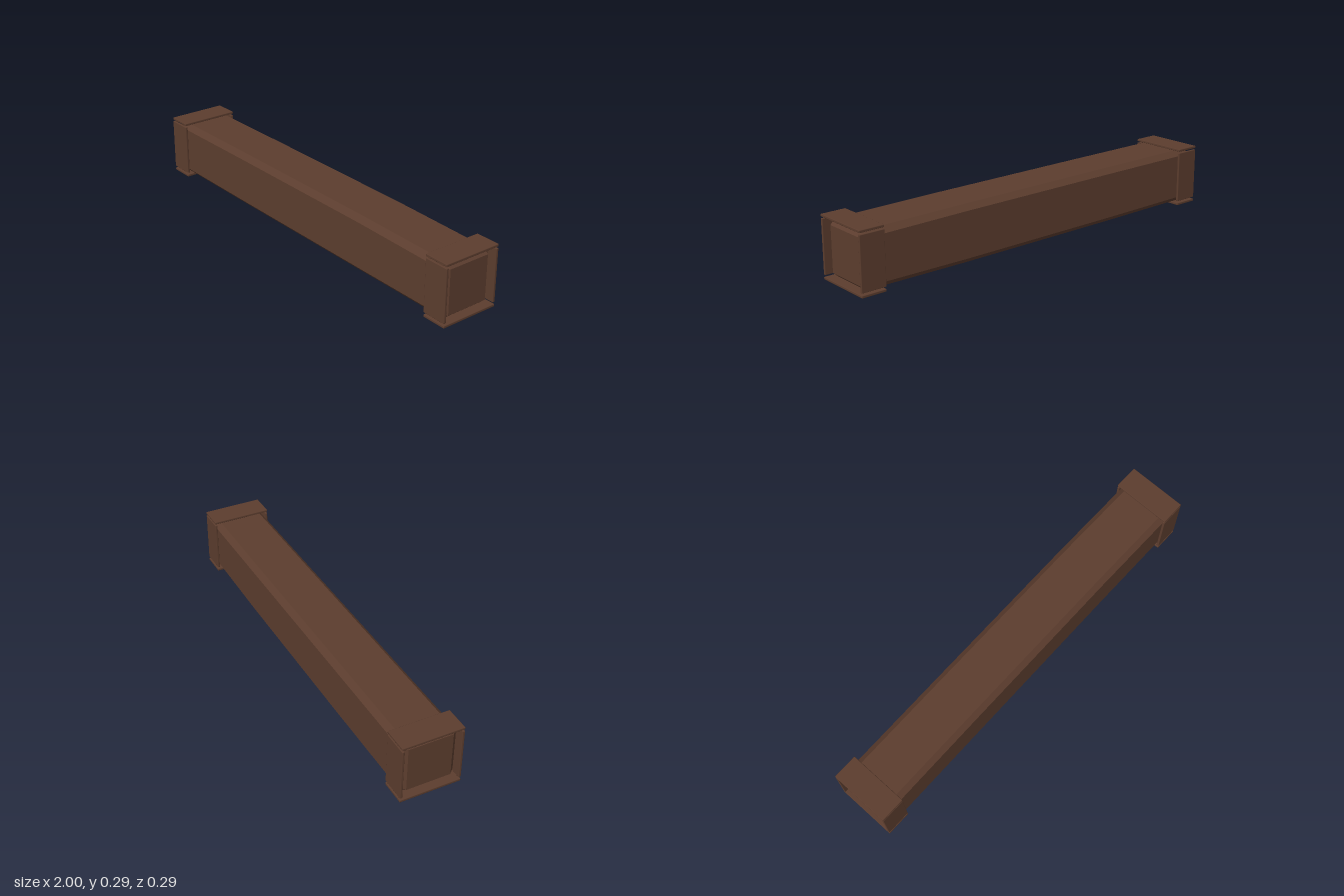
import * as THREE from 'three';
import { RoundedBoxGeometry } from 'three/addons/geometries/RoundedBoxGeometry.js';

// Slightly warped, chamfered beam: each section is [x, bottom, top, back, front, chamfer]
const SECTIONS = [
  [-0.98, 0.037, 0.252, -0.104, 0.104, 0],
  [-0.955, 0.014, 0.276, -0.129, 0.13, 0.025],
  [-0.4, 0.011, 0.277, -0.131, 0.128, 0.025],
  [0.45, 0.011, 0.276, -0.133, 0.127, 0.025],
  [0.955, 0.014, 0.271, -0.131, 0.13, 0.026],
  [0.98, 0.036, 0.246, -0.105, 0.102, 0],
];

function beamGeometry() {
  const rings = SECTIONS.map(([x, y0, y1, z0, z1, c]) => [
    [z1, y0 + c], [z1, y1 - c], [z1 - c, y1], [z0 + c, y1],
    [z0, y1 - c], [z0, y0 + c], [z0 + c, y0], [z1 - c, y0],
  ].map(([z, y]) => new THREE.Vector3(x, y, z)));

  const positions = [];
  const tri = (a, b, c) => {
    if (a.equals(b) || b.equals(c) || a.equals(c)) return; // collapsed chamfer corners
    for (const p of [a, b, c]) positions.push(p.x, p.y, p.z);
  };
  // Long sides and end chamfers
  for (let i = 0; i < rings.length - 1; i++) {
    for (let j = 0; j < 8; j++) {
      const k = (j + 1) % 8, A = rings[i], B = rings[i + 1];
      tri(A[j], B[j], B[k]);
      tri(A[j], B[k], A[k]);
    }
  }
  // End faces
  const first = rings[0], last = rings[rings.length - 1];
  for (let k = 1; k < 7; k++) {
    tri(first[0], first[k], first[k + 1]);
    tri(last[0], last[k + 1], last[k]);
  }
  const geometry = new THREE.BufferGeometry();
  geometry.setAttribute('position', new THREE.Float32BufferAttribute(positions, 3));
  geometry.computeVertexNormals();
  return geometry;
}

export function createModel() {
  const model = new THREE.Group();
  model.name = 'woodenBeam';
  const wood = new THREE.MeshStandardMaterial({ color: 0x5c3d2e });
  wood.name = 'darkBrownWood';

  const add = (name, geometry, parent, x = 0, y = 0, z = 0) => {
    const mesh = new THREE.Mesh(geometry, wood);
    mesh.name = name;
    mesh.position.set(x, y, z);
    parent.add(mesh);
  };

  add('beam', beamGeometry(), model);

  // A collar of four separate boards around each end
  const T = 0.012, L = 0.12, R = 0.003;
  const flat = new RoundedBoxGeometry(L, T, 0.287, 1, R);
  const upright = new RoundedBoxGeometry(L, 0.249, T, 1, R);
  for (const side of [-1, 1]) {
    const collar = new THREE.Group();
    collar.name = side > 0 ? 'leftCollar' : 'rightCollar';
    collar.position.x = side * 0.94;
    add('topBoard', flat, collar, 0, 0.283, 0);
    add('bottomBoard', flat, collar, 0, 0.006, 0);
    add('frontBoard', upright, collar, 0, 0.1455, 0.1375);
    add('backBoard', upright, collar, 0, 0.1455, -0.1375);
    model.add(collar);
  }
  return model;
}
